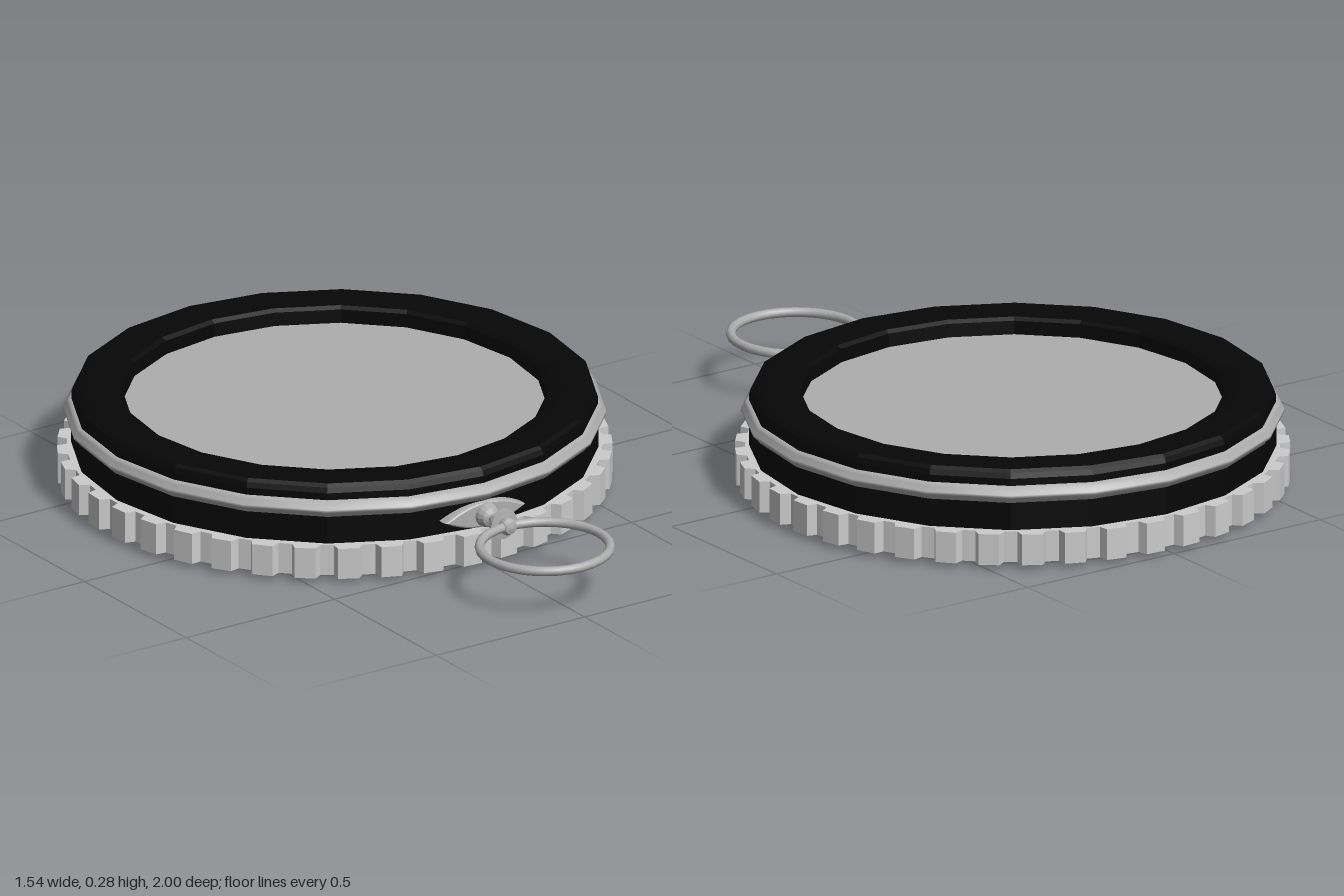
import * as THREE from 'three';

const BODY_Z = -0.23;   // centre of the round case
const RING_Y = 0.145;   // height of the pendant axis

const grey = new THREE.MeshStandardMaterial({ color: 0xcccccc, flatShading: true });
const steel = new THREE.MeshStandardMaterial({ color: 0xadadad, flatShading: true });
const steelSmooth = new THREE.MeshStandardMaterial({ color: 0xadadad });
const black = new THREE.MeshStandardMaterial({ color: 0x060606, flatShading: true });

function add(parent, name, geometry, material, x = 0, y = 0, z = 0) {
  const mesh = new THREE.Mesh(geometry, material);
  mesh.name = name;
  mesh.position.set(x, y, z);
  parent.add(mesh);
  return mesh;
}

// profile points run from the bottom upwards as [radius, height]
const lathe = (points, sides) =>
  new THREE.LatheGeometry(points.map(([r, y]) => new THREE.Vector2(r, y)), sides);

// toothed outline: valley, flank, crest, flank for each tooth
function gearGeometry(teeth, inner, outer, height) {
  const shape = new THREE.Shape();
  const step = (Math.PI * 2) / teeth;
  for (let i = 0; i < teeth; i++) {
    for (const [r, f] of [[inner, 0.16], [outer, 0.26], [outer, 0.74], [inner, 0.84]]) {
      const a = (i + f) * step;
      const x = r * Math.cos(a), y = r * Math.sin(a);
      if (i === 0 && f === 0.16) shape.moveTo(x, y);
      else shape.lineTo(x, y);
    }
  }
  shape.closePath();
  const geometry = new THREE.ExtrudeGeometry(shape, { depth: height, bevelEnabled: false });
  return geometry.rotateX(-Math.PI / 2);
}

// pointed lens plate made of two arcs
function lensGeometry(halfWidth, halfHeight, depth) {
  const shape = new THREE.Shape();
  shape.moveTo(-halfWidth, 0);
  shape.quadraticCurveTo(0, -halfHeight * 2, halfWidth, 0);
  shape.quadraticCurveTo(0, halfHeight * 2, -halfWidth, 0);
  return new THREE.ExtrudeGeometry(shape, {
    depth, curveSegments: 12, bevelThickness: 0.01, bevelSize: 0.006, bevelOffset: -0.006, bevelSegments: 2,
  });
}

export function createModel() {
  const model = new THREE.Group();
  model.name = 'roundCase';

  const body = new THREE.Group();
  body.name = 'caseBody';
  body.position.z = BODY_Z;
  model.add(body);

  // underside: black disc inside a chamfered grey edge
  add(body, 'bottomDisc', lathe([[0, 0.002], [0.712, 0.002]], 40), black);
  add(body, 'bottomChamfer', lathe([[0.71, 0.002], [0.715, 0], [0.73, 0.006], [0.742, 0.018]], 40), grey);

  // toothed grip band
  add(body, 'gripBand', gearGeometry(40, 0.744, 0.772, 0.09), grey, 0, 0.015, 0);

  // black wall, rounded bezel with a straight inner wall, and sunken window
  add(body, 'caseWall', lathe([[0.733, 0.09], [0.733, 0.2]], 20), black);
  add(body, 'bezel', lathe([
    [0.732, 0.2], [0.732, 0.255], [0.727, 0.27], [0.715, 0.278], [0.7, 0.28],
    [0.64, 0.279], [0.605, 0.275], [0.592, 0.267], [0.59, 0.225],
  ], 20), black);
  add(body, 'window', lathe([[0.592, 0.228], [0, 0.228]], 20), steel);

  // ridged metal rim
  add(body, 'rim', lathe([
    [0.728, 0.183], [0.738, 0.187], [0.742, 0.194], [0.755, 0.205], [0.755, 0.213],
    [0.746, 0.219], [0.747, 0.226], [0.738, 0.234], [0.728, 0.235],
  ], 20), steelSmooth);

  // pendant: lens-shaped mount, turned stem and loop
  const pendant = new THREE.Group();
  pendant.name = 'pendant';
  pendant.position.y = RING_Y;
  model.add(pendant);

  add(pendant, 'mount', lensGeometry(0.135, 0.038, 0.03), steel, 0, 0, 0.475);

  const stem = add(pendant, 'stem', lathe([
    [0, 0.5], [0.036, 0.5], [0.035, 0.525], [0.028, 0.542], [0.014, 0.55], [0.014, 0.58],
    [0.022, 0.592], [0.044, 0.595], [0.044, 0.605], [0.022, 0.608],
    [0.025, 0.618], [0.025, 0.628], [0.018, 0.64], [0, 0.645],
  ], 16), steel);
  stem.rotation.x = Math.PI / 2;

  const loop = add(pendant, 'loop', new THREE.TorusGeometry(0.182, 0.0135, 10, 32), steelSmooth, 0, 0, 0.804);
  loop.rotation.x = Math.PI / 2;

  return model;
}
